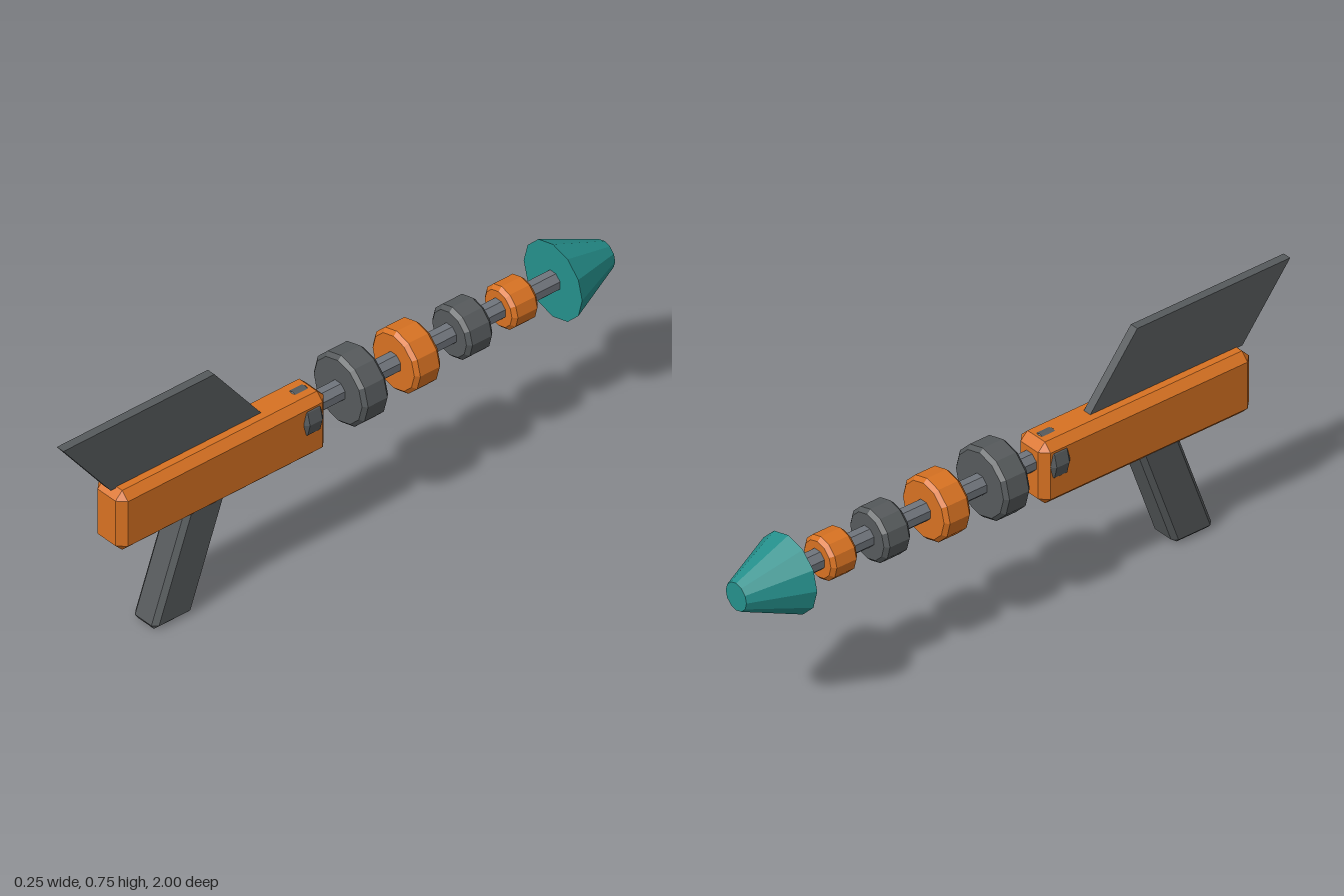
import * as THREE from 'three';
import { ConvexGeometry } from 'three/addons/geometries/ConvexGeometry.js';

const AXIS_Y = 0.466;

function material(name, color) {
  const m = new THREE.MeshStandardMaterial({ color });
  m.name = name;
  return m;
}

// Box with every edge chamfered; optional shear moves z along with y
function chamferBox(w, h, d, c, shear = 0) {
  const points = [];
  for (const sx of [-1, 1]) for (const sy of [-1, 1]) for (const sz of [-1, 1]) {
    for (let axis = 0; axis < 3; axis++) {
      const inset = [c, c, c];
      inset[axis] = 0;
      const p = new THREE.Vector3(sx * (w / 2 - inset[0]), sy * (h / 2 - inset[1]), sz * (d / 2 - inset[2]));
      p.z += shear * p.y;
      points.push(p);
    }
  }
  return new ConvexGeometry(points);
}

// Faceted solid of revolution along z; profile is [radius, distance towards the back]
function turned(profile, sides, turn = 0) {
  const points = profile.map(([r, t]) => new THREE.Vector2(r, t));
  const indexed = new THREE.LatheGeometry(points, sides);
  indexed.rotateY(turn);
  indexed.rotateX(-Math.PI / 2);
  const g = indexed.toNonIndexed();
  g.computeVertexNormals();
  return g;
}

function ringGeometry(radius, width, bevel = 0.012) {
  const h = width / 2;
  return turned([[0, -h], [radius - bevel, -h], [radius, -h + bevel],
    [radius, h - bevel], [radius - bevel, h], [0, h]], 12);
}

export function createModel() {
  const model = new THREE.Group();
  model.name = 'toyBlaster';

  const orange = material('orange', 0xd87222);
  const dark = material('darkGrey', 0x565a5c);
  const steel = material('steelGrey', 0x70757c);
  const teal = material('teal', 0x25908c);

  const add = (name, geometry, mat, x, y, z) => {
    const mesh = new THREE.Mesh(geometry, mat);
    mesh.name = name;
    mesh.position.set(x, y, z);
    model.add(mesh);
    return mesh;
  };

  // Main body, slanted grip and the low plate under the body
  add('body', chamferBox(0.126, 0.205, 0.765, 0.025), orange, 0, 0.436, 0.447);
  add('grip', chamferBox(0.1, 0.37, 0.145, 0.015, -0.36), dark, 0, 0.185, 0.561);
  add('triggerPlate', chamferBox(0.044, 0.03, 0.17, 0.008), dark, 0, 0.341, 0.32);

  // Swept fin: a side outline extruded across x
  const outline = new THREE.Shape([[-1, 0.754], [-0.445, 0.754], [-0.271, 0.535], [-0.826, 0.535]]
    .map(([u, v]) => new THREE.Vector2(u, v)));
  const fin = new THREE.ExtrudeGeometry(outline, { depth: 0.028, bevelEnabled: false });
  fin.translate(0, 0, -0.014);
  fin.rotateY(Math.PI / 2);
  add('fin', fin, dark, 0, 0, 0);

  // Barrel rod
  add('barrelRod', turned([[0, -0.47], [0.033, -0.47], [0.033, 0.47], [0, 0.47]], 8, Math.PI / 8),
    steel, 0, AXIS_Y, -0.37);

  // Collar poking through the body, then rings shrinking towards the tip
  add('collar', ringGeometry(0.076, 0.07), dark, 0, AXIS_Y, 0.124);
  const rings = [[0.115, -0.068], [0.101, -0.272], [0.085, -0.477], [0.07, -0.657]];
  rings.forEach(([radius, z], i) => {
    add('barrelRing' + (i + 1), ringGeometry(radius, 0.095), i % 2 ? orange : dark, 0, AXIS_Y, z);
  });

  // Blunt cone tip
  add('tipCone', turned([[0, 0], [0.125, 0], [0.045, 0.19], [0, 0.19]], 12), teal, 0, AXIS_Y, -0.81);

  return model;
}
